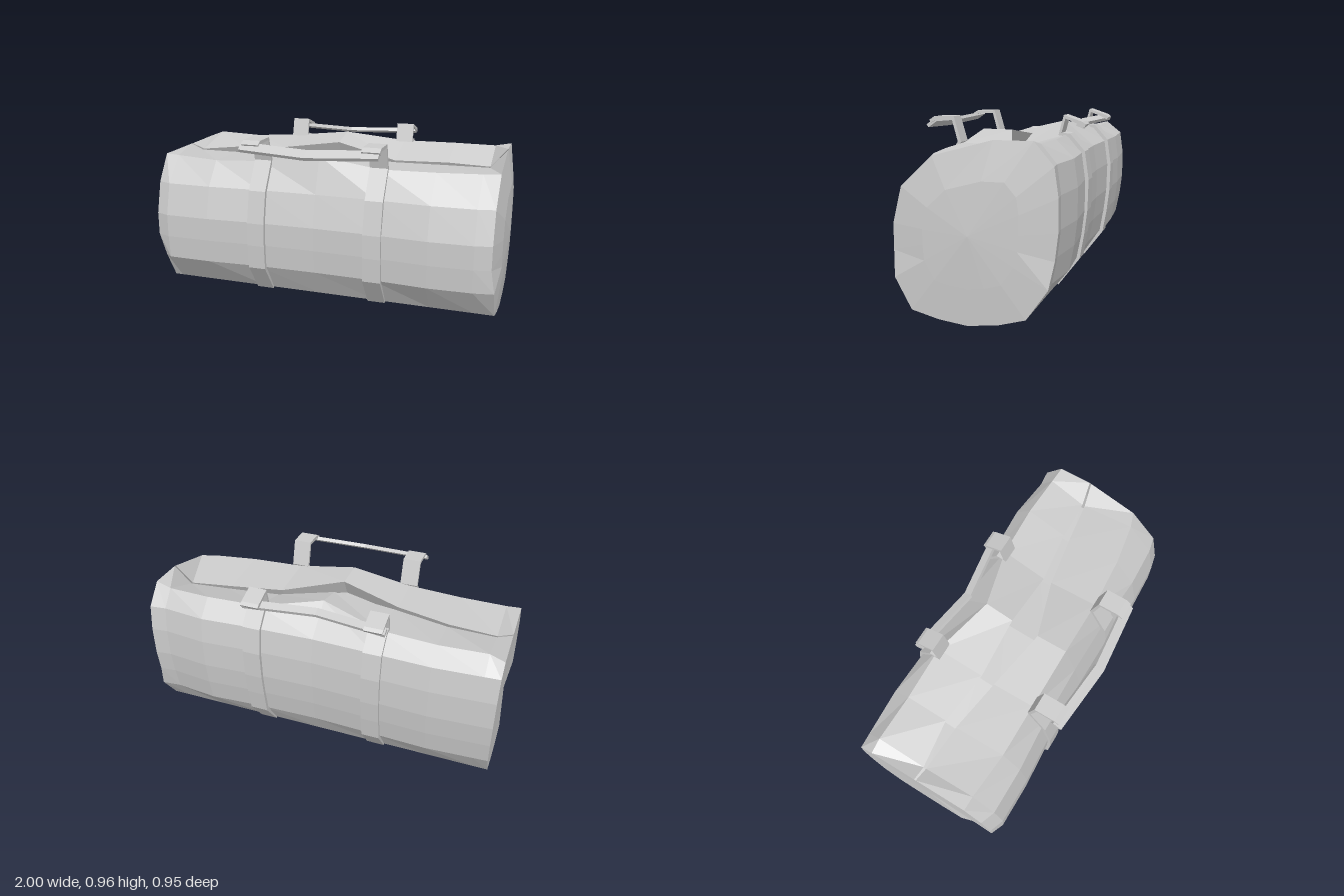
import * as THREE from 'three';

const mat = new THREE.MeshStandardMaterial({ color: 0xcccccc, flatShading: true, side: THREE.DoubleSide });
const v = (x, y, z) => new THREE.Vector3(x, y, z);

// One row per cross-section along the bag:
// x, front bulge z, front shoulder z/y, front lip z/y, back bulge z, ridge z/y, back lip z/y
const stations = [
  [-1.00, 0.355, 0.22, 0.80, -0.07, 0.81, -0.44, -0.34, 0.82, -0.08, 0.81],
  [-0.92, 0.385, 0.22, 0.795, -0.065, 0.777, -0.445, -0.34, 0.85, -0.08, 0.78],
  [-0.66, 0.385, 0.24, 0.785, -0.05, 0.78, -0.46, -0.34, 0.84, -0.11, 0.805],
  [-0.36, 0.365, 0.24, 0.80, 0.00, 0.795, -0.45, -0.345, 0.86, -0.075, 0.825],
  [-0.02, 0.36, 0.245, 0.852, 0.07, 0.85, -0.44, -0.25, 0.91, -0.09, 0.872],
  [0.32, 0.365, 0.24, 0.80, -0.04, 0.785, -0.45, -0.345, 0.86, -0.09, 0.785],
  [0.62, 0.385, 0.22, 0.80, -0.09, 0.778, -0.47, -0.36, 0.86, -0.13, 0.785],
  [0.86, 0.375, 0.18, 0.80, -0.125, 0.772, -0.445, -0.35, 0.86, -0.14, 0.775],
  [0.95, 0.355, 0.15, 0.80, -0.14, 0.877, -0.455, -0.34, 0.88, -0.15, 0.88],
];

// The lower corners of the end rims are pulled along the bag
function rimX(x, y, z) {
  if (x > 0.9 && y < 0.3) return x + 0.02;
  if (x < -0.95 && y > 0.04 && y < 0.3 && z > 0.2) return x + 0.035;
  return x;
}

// Open cross-section running from the front lip, under the bag, to the back lip
function section([x, f, sz, sy, lz, ly, b, rz, ry, bz, by]) {
  return [
    [lz, ly], [sz, sy], [f - 0.045, 0.65], [f, 0.47], [f, 0.34], [f - 0.01, 0.21], [0.26, 0.055],
    [0.12, 0.02], [-0.02, 0.003], [-0.17, 0.02], [-0.31, 0.06],
    [b + 0.04, 0.21], [b + 0.015, 0.34], [b, 0.47], [b, 0.63], [b + 0.02, 0.77], [rz, ry], [bz, by],
  ].map(([z, y]) => v(rimX(x, y, z), y, z));
}

// Undercut pocket between the two lips
function pocket([x, , , , lz, ly, , , , bz, by]) {
  const d = 0.02 + 0.5 * (lz - bz);
  return [v(x, ly, lz), v(x, ly - d, lz + d * 0.5), v(x, by - d, bz - d * 0.5), v(x, by, bz)];
}

// Surface from rows of points, optionally closed around each row
function loft(rows, closed) {
  const p = [], n = rows[0].length;
  for (let i = 0; i < rows.length - 1; i++) {
    for (let j = 0; j < (closed ? n : n - 1); j++) {
      const k = (j + 1) % n, a = rows[i][j], b = rows[i + 1][j], c = rows[i + 1][k], d = rows[i][k];
      p.push(a, c, b, a, d, c);
    }
  }
  const g = new THREE.BufferGeometry().setFromPoints(p);
  g.computeVertexNormals();
  return g;
}

// Flat ribbon of the given thickness following a [z, y] path
function ribbon(path, width, thick) {
  const pts = path.map(([z, y]) => new THREE.Vector2(z, y));
  const inner = pts.map((q, i) => {
    const d1 = q.clone().sub(pts[Math.max(i - 1, 0)]).normalize();
    const d2 = pts[Math.min(i + 1, pts.length - 1)].clone().sub(q).normalize();
    const t = d1.add(d2).normalize();
    return new THREE.Vector2(q.x - t.y * thick, q.y + t.x * thick);
  });
  const g = new THREE.ExtrudeGeometry(new THREE.Shape([...pts, ...inner.reverse()]),
    { depth: width, bevelEnabled: false });
  return g.translate(0, 0, -width / 2).rotateY(-Math.PI / 2);
}

// Tilted grip strip whose middle is pushed by (dy, dz)
function grip(y, z, depth, tilt, dy, dz) {
  const g = new THREE.BoxGeometry(0.78, 0.02, depth, 2, 1, 1).rotateX(tilt);
  const a = g.attributes.position;
  for (let i = 0; i < a.count; i++) {
    if (Math.abs(a.getX(i)) < 0.01) a.setXYZ(i, a.getX(i), a.getY(i) + dy, a.getZ(i) + dz);
  }
  return g.translate(-0.025, y, z);
}

export function createModel() {
  const bag = new THREE.Group();
  bag.name = 'duffelBag';
  const add = (name, geometry, x = 0) => {
    const m = new THREE.Mesh(geometry, mat);
    m.name = name;
    m.position.x = x;
    bag.add(m);
  };

  // Body shell with the sunken opening on top
  const rows = stations.map(section);
  add('body', loft(rows, false));
  add('opening', loft(stations.slice(1, -1).map(pocket), false));

  // End panels: one flat, one bulging through an inner ring
  const ring = (row, s, x) => row.map(q => v(x, 0.44 + (q.y - 0.44) * s, -0.04 + (q.z + 0.04) * s));
  const last = rows[rows.length - 1];
  add('rightEnd', loft([ring(rows[0], 0, -0.995), rows[0]], true));
  add('leftEnd', loft([last, ring(last, 0.58, 0.985), ring(last, 0, 1.0)], true));

  // Straps up each side, ending in the handle loops
  const front = [[0.268, 0.048], [0.378, 0.205], [0.386, 0.34], [0.384, 0.47], [0.347, 0.65],
    [0.255, 0.81], [0.288, 0.93], [0.385, 0.925], [0.41, 0.908]];
  const back = [[-0.316, 0.053], [-0.43, 0.205], [-0.453, 0.34], [-0.468, 0.47], [-0.472, 0.63],
    [-0.45, 0.778], [-0.37, 0.868], [-0.325, 0.87], [-0.345, 0.945], [-0.425, 0.912], [-0.44, 0.9]];
  for (const x of [-0.355, 0.32]) {
    add('frontStrap', ribbon(front, 0.1, 0.02), x);
    add('backStrap', ribbon(back, 0.1, -0.02), x);
  }

  // Handles
  add('frontHandle', grip(0.908, 0.41, 0.06, 0.6, -0.015, 0.035));
  add('backHandle', grip(0.91, -0.425, 0.045, -0.4, -0.005, 0.06));
  return bag;
}
